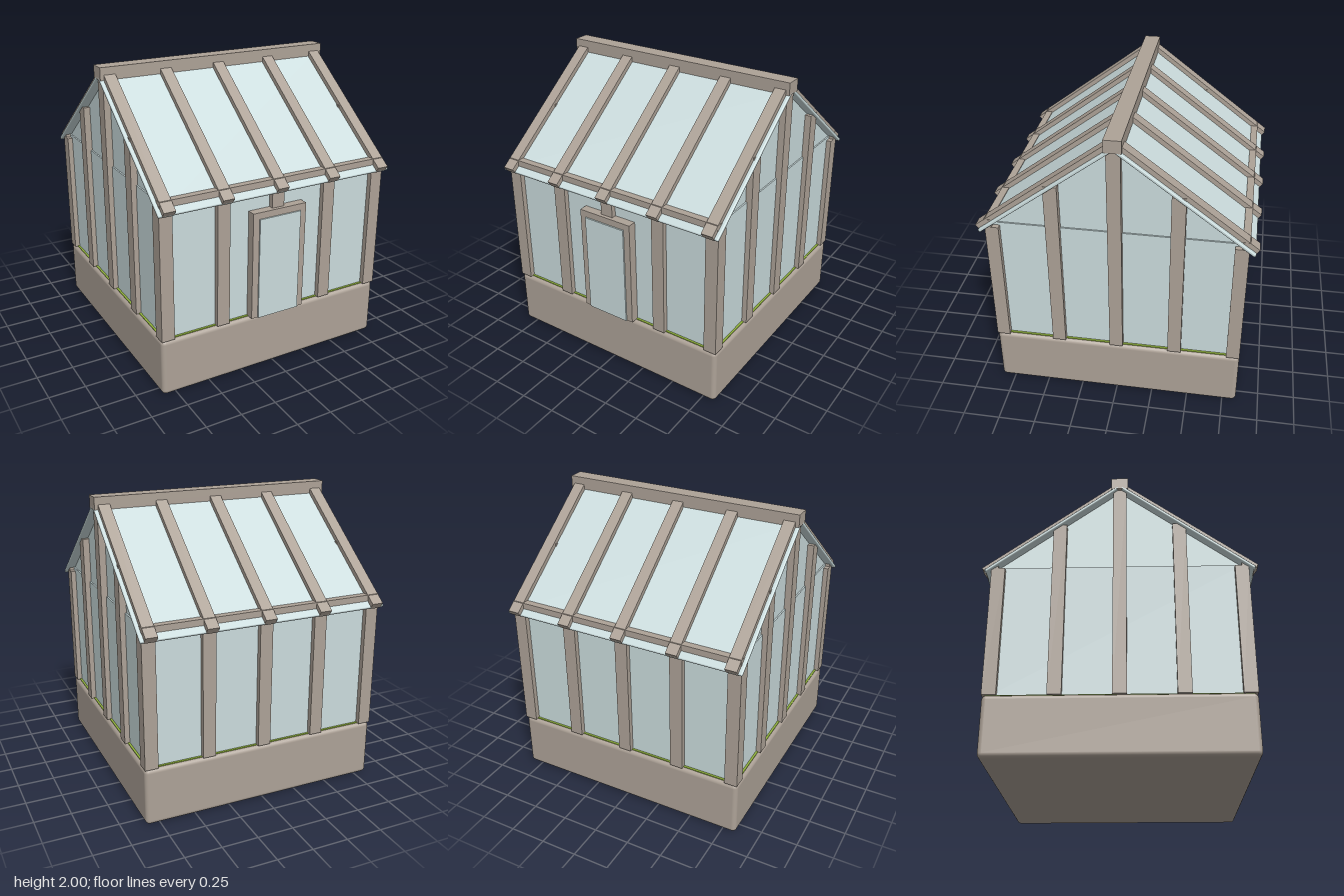
import * as THREE from 'three';
import { RoundedBoxGeometry } from 'three/addons/geometries/RoundedBoxGeometry.js';

const material = (name, color) => {
  const m = new THREE.MeshStandardMaterial({ color });
  m.name = name;
  return m;
};

export function createModel() {
  const wood = material('weathered wood', 0xada297);
  const glass = material('pale glass', 0xcbdcdd);
  const grass = material('grass green', 0x8fb03c);

  const model = new THREE.Group();
  model.name = 'greenhouse';

  const add = (parent, name, geometry, mat, x = 0, y = 0, z = 0) => {
    const mesh = new THREE.Mesh(geometry, mat);
    mesh.name = name;
    mesh.position.set(x, y, z);
    parent.add(mesh);
    return mesh;
  };
  // Box given by its lower and upper corners
  const box = (parent, name, mat, [x0, y0, z0], [x1, y1, z1]) =>
    add(parent, name, new THREE.BoxGeometry(x1 - x0, y1 - y0, z1 - z0), mat,
      (x0 + x1) / 2, (y0 + y1) / 2, (z0 + z1) / 2);

  // Plinth with a thin bed of grass on top
  add(model, 'base', new RoundedBoxGeometry(1.69, 0.4, 1.69, 4, 0.03), wood, 0, 0.2, 0);
  box(model, 'grassBed', grass, [-0.825, 0.399, -0.825], [0.825, 0.404, 0.825]);

  // Glass walls and gables
  box(model, 'wallGlass', glass, [-0.81, 0.4, -0.81], [0.81, 1.32, 0.81]);
  const gable = new THREE.Shape([
    new THREE.Vector2(-0.8, 1.32), new THREE.Vector2(0.8, 1.32), new THREE.Vector2(0, 1.925),
  ]);
  const gableGeometry = new THREE.ExtrudeGeometry(gable, { depth: 1.6, bevelEnabled: false });
  gableGeometry.translate(0, 0, -0.8).rotateY(Math.PI / 2);
  add(model, 'gableGlass', gableGeometry, glass);

  // Posts round the four walls; the gable posts rise with the roof
  const w = 0.045;
  const post = (name, x, z, top) =>
    box(model, name, wood, [x - w, 0.4, z - w], [x + w, top, z + w]);
  for (const s of [-1, 1]) {
    for (const t of [-0.8, 0.8]) post('cornerPost', s * 0.8, t, 1.3);
    for (const t of [-0.4, 0, 0.4]) {
      post(s > 0 ? 'frontPost' : 'backPost', t, s * 0.8, 1.3);
      post('gablePost', s * 0.8, t, t === 0 ? 1.92 : 1.635);
    }
  }

  // Door frame and pane
  const door = new THREE.Group();
  door.name = 'door';
  model.add(door);
  for (const s of [-1, 1]) {
    box(door, 'doorJamb', wood, [s * 0.178 - 0.023, 0.4, 0.8], [s * 0.178 + 0.023, 1.155, 0.87]);
  }
  box(door, 'doorLintel', wood, [-0.155, 1.11, 0.8], [0.155, 1.155, 0.87]);
  box(door, 'doorPane', glass, [-0.155, 0.4, 0.8], [0.155, 1.11, 0.88]);

  // Two roof slopes, each a pane, rafters and an eaves rail
  const pitch = 0.647;
  const length = 1.098;
  for (const turn of [0, Math.PI]) {
    const side = new THREE.Group();
    side.name = turn ? 'backRoof' : 'frontRoof';
    side.rotation.y = turn;
    model.add(side);

    const slope = new THREE.Group();
    slope.name = 'roofSlope';
    slope.position.y = 1.925;
    slope.rotation.x = pitch;
    side.add(slope);
    add(slope, 'roofGlass', new RoundedBoxGeometry(1.73, 0.022, length, 2, 0.008), glass,
      0, 0.011, length / 2);
    for (const x of [-0.8, -0.4, 0, 0.4, 0.8]) {
      box(slope, 'rafter', wood, [x - 0.04, 0.002, 0], [x + 0.04, 0.053, length]);
    }
    box(side, 'eavesRail', wood, [-0.842, 1.3, 0.8], [0.842, 1.354, 0.848]);
  }

  // Ridge beam
  box(model, 'ridgeBeam', wood, [-0.865, 1.915, -0.056], [0.865, 2, 0.056]);

  return model;
}
